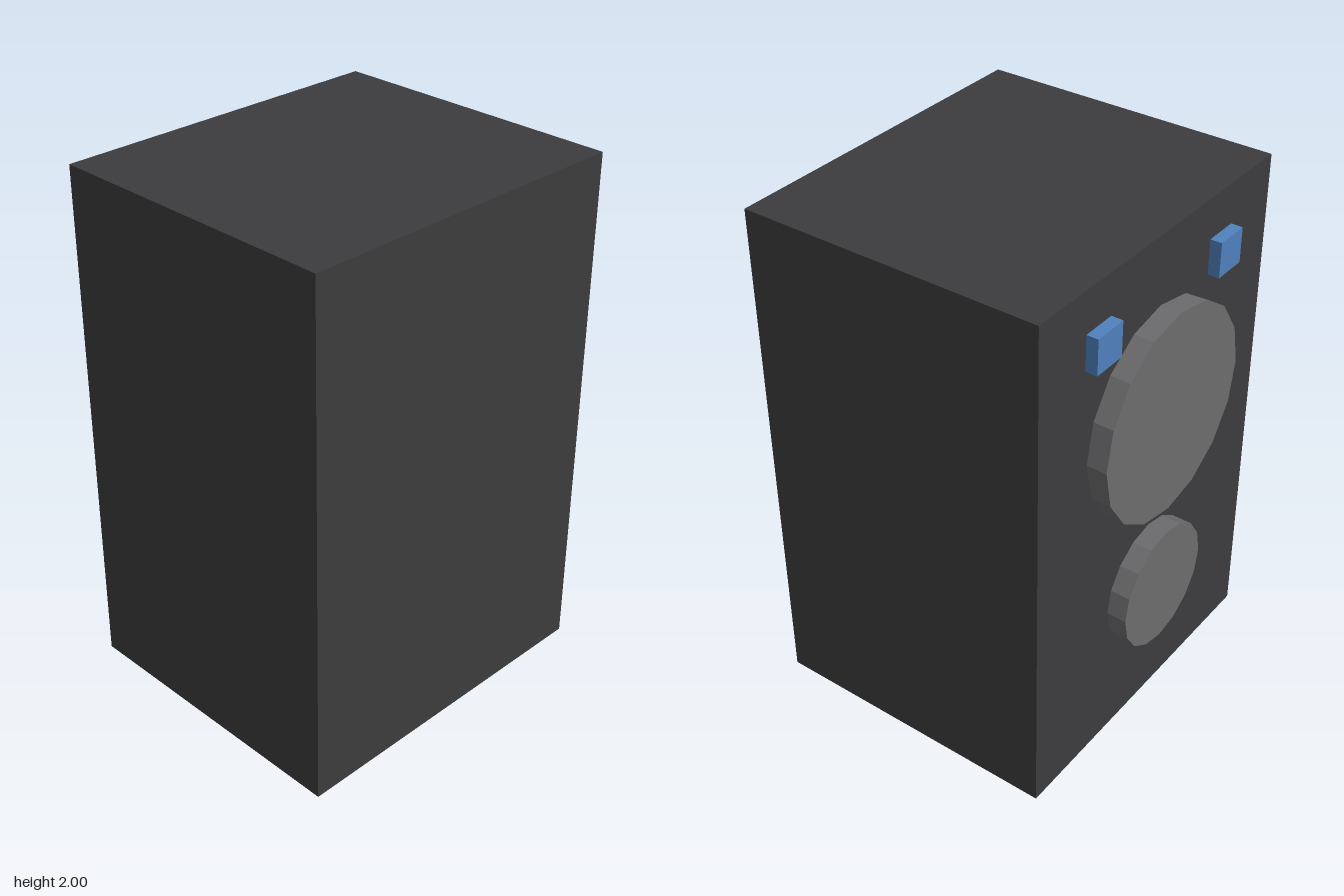
import * as THREE from 'three';

const BACK = -0.54; // plane of the cabinet's driver side

function mesh(name, geometry, color, x, y, z) {
  const m = new THREE.Mesh(geometry, new THREE.MeshStandardMaterial({ color, flatShading: true }));
  m.name = name;
  m.position.set(x, y, z);
  return m;
}

// Sixteen-sided disc standing on the driver side, corners on the axes
function driver(name, radius, y) {
  const depth = 0.076;
  const geometry = new THREE.CylinderGeometry(radius, radius, depth, 16).rotateX(Math.PI / 2);
  return mesh(name, geometry, 0x6c6c6e, 0, y, BACK - depth / 2);
}

export function createModel() {
  const model = new THREE.Group();
  model.name = 'loudspeaker';

  // Cabinet
  model.add(mesh('cabinet', new THREE.BoxGeometry(1.33, 2, 1.156), 0x3c3c3e, 0, 1, 0.038));

  // Large and small drivers
  model.add(driver('largeDriver', 0.4, 1.336));
  model.add(driver('smallDriver', 0.243, 0.582));

  // Pair of blue square buttons
  for (const [name, side] of [['leftButton', 1], ['rightButton', -1]]) {
    const geometry = new THREE.BoxGeometry(0.133, 0.133, 0.044);
    model.add(mesh(name, geometry, 0x4f81bd, side * 0.356, 1.777, BACK - 0.022));
  }
  return model;
}
